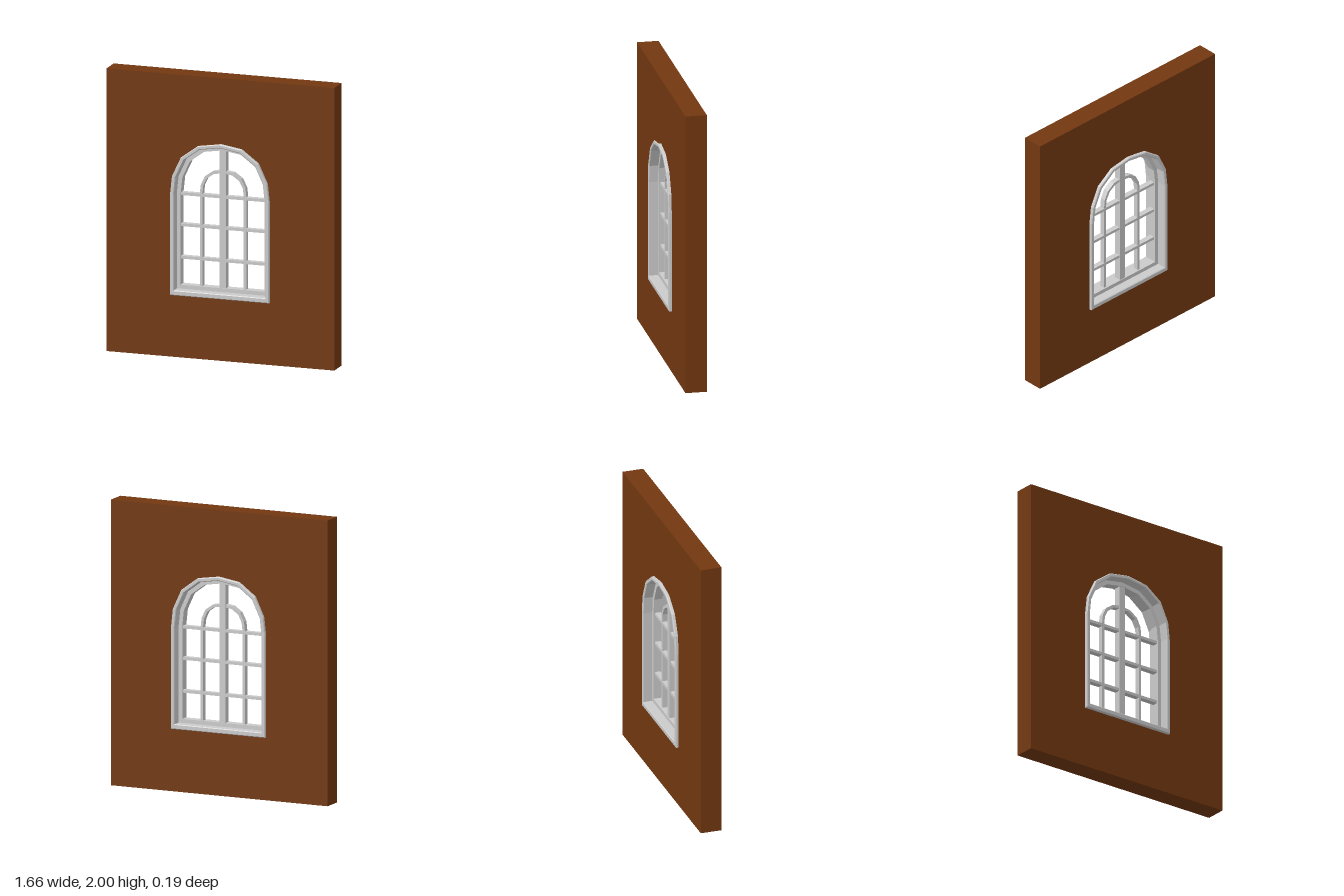
import * as THREE from 'three';

// Faceted arch: half-profile as fractions of half width and rise
const ARCH = [[1, 0], [0.96, 0.34], [0.78, 0.7], [0.44, 0.935], [0, 1]];

function archPoints(halfW, bottom, spring, top) {
  const right = ARCH.map(([u, v]) => new THREE.Vector2(u * halfW, spring + v * (top - spring)));
  const left = right.slice(0, -1).reverse().map((p) => new THREE.Vector2(-p.x, p.y));
  return [new THREE.Vector2(-halfW, bottom), new THREE.Vector2(halfW, bottom), ...right, ...left];
}

// Extrude an outline with a hole, centred on z = 0
function ring(outer, inner, halfDepth, bevel = 0) {
  const shape = new THREE.Shape(outer);
  shape.holes.push(new THREE.Path(inner));
  const depth = 2 * (halfDepth - bevel);
  return new THREE.ExtrudeGeometry(shape, {
    depth, bevelEnabled: bevel > 0, bevelSize: bevel, bevelThickness: bevel,
    bevelOffset: -bevel, bevelSegments: 1,
  }).translate(0, 0, -depth / 2);
}

export function createModel() {
  const group = new THREE.Group();
  const brown = new THREE.MeshStandardMaterial({ color: 0x733810, side: THREE.DoubleSide });
  const grey = new THREE.MeshStandardMaterial({ color: 0xcccccc });

  const add = (name, geometry, material = grey, parent = group) => {
    const mesh = new THREE.Mesh(geometry, material);
    mesh.name = name;
    parent.add(mesh);
    return mesh;
  };
  const bar = (name, w, h, d, x, y, parent) =>
    add(name, new THREE.BoxGeometry(w, h, d).translate(x, y, 0), grey, parent);

  // Wall with an arched opening
  const wallOutline = [[-0.83, 0], [0.83, 0], [0.83, 2], [-0.83, 2]].map(([x, y]) => new THREE.Vector2(x, y));
  add('wall', ring(wallOutline, archPoints(0.347, 0.455, 1.15, 1.522), 0.075), brown);

  // Casing proud of both wall faces, and the shallower sash inside it
  const casingOuter = archPoints(0.361, 0.44, 1.15, 1.535);
  const casingInner = archPoints(0.333, 0.475, 1.15, 1.508);
  add('casing', ring(casingOuter, casingInner, 0.097, 0.005));
  add('sash', ring(archPoints(0.338, 0.47, 1.15, 1.513), archPoints(0.305, 0.503, 1.15, 1.478), 0.03));

  // Painted facet on the casing's top edge
  const facet = new THREE.BufferGeometry().setFromPoints([
    new THREE.Vector3(-0.159, 1.511, 0.092), new THREE.Vector3(0, 1.536, 0.092),
    new THREE.Vector3(0, 1.536, 0.074), new THREE.Vector3(-0.159, 1.511, 0.074),
  ]);
  facet.setIndex([0, 1, 2, 0, 2, 3]);
  facet.computeVertexNormals();
  add('casingPaintedFacet', facet, brown);

  // Glazing bars
  const bars = new THREE.Group();
  bars.name = 'glazingBars';
  group.add(bars);
  bar('centreMullion', 0.046, 1.0, 0.05, 0, 0.99, bars);
  for (const y of [0.695, 0.925, 1.145]) bar('horizontalBar', 0.63, 0.02, 0.04, 0, y, bars);
  // Slim inner arch with legs running down to the sill
  add('innerArch', ring(archPoints(0.169, 0.49, 1.165, 1.333), archPoints(0.15, 0.495, 1.165, 1.313), 0.019), grey, bars);

  return group;
}
